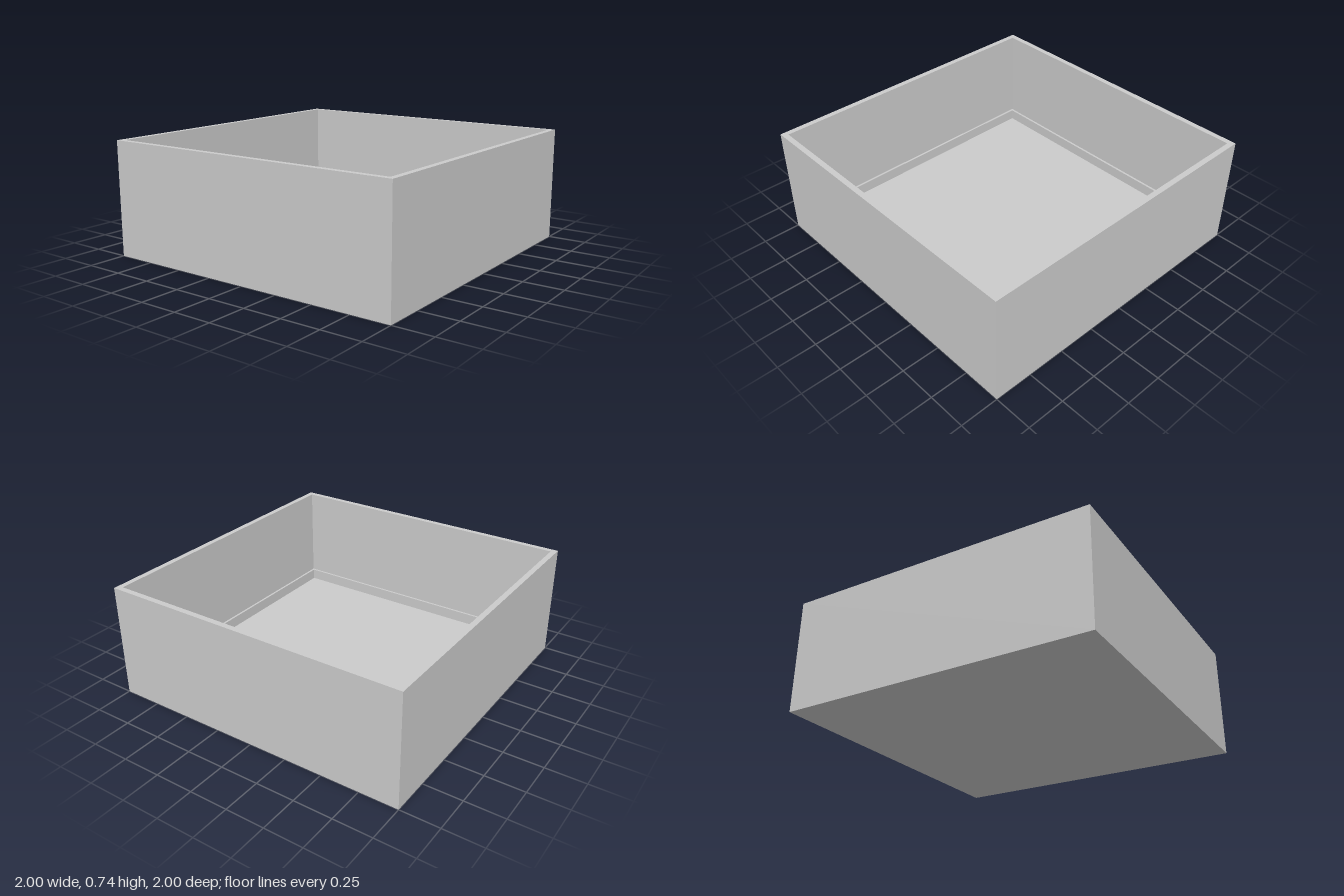
import * as THREE from 'three';

export function createModel() {
  const group = new THREE.Group();
  group.name = 'openBox';

  // Half-section of the tray: underside, outer wall, rim, inner wall, ledge, floor
  const profile = [
    [0, 0], [1, 0], [1, 0.737], [0.964, 0.737],
    [0.964, 0.11], [0.949, 0.11], [0.949, 0.037], [0, 0.037],
  ].map(([halfWidth, y]) => new THREE.Vector2(halfWidth * Math.SQRT2, y));

  // Four segments turned by 45 degrees sweep the section around a square
  const geometry = new THREE.LatheGeometry(profile, 4, Math.PI / 4).toNonIndexed();
  geometry.computeVertexNormals();

  const tray = new THREE.Mesh(
    geometry,
    new THREE.MeshStandardMaterial({ color: 0xcccccc, flatShading: true })
  );
  tray.name = 'boxWithInnerLedge';
  group.add(tray);
  return group;
}
